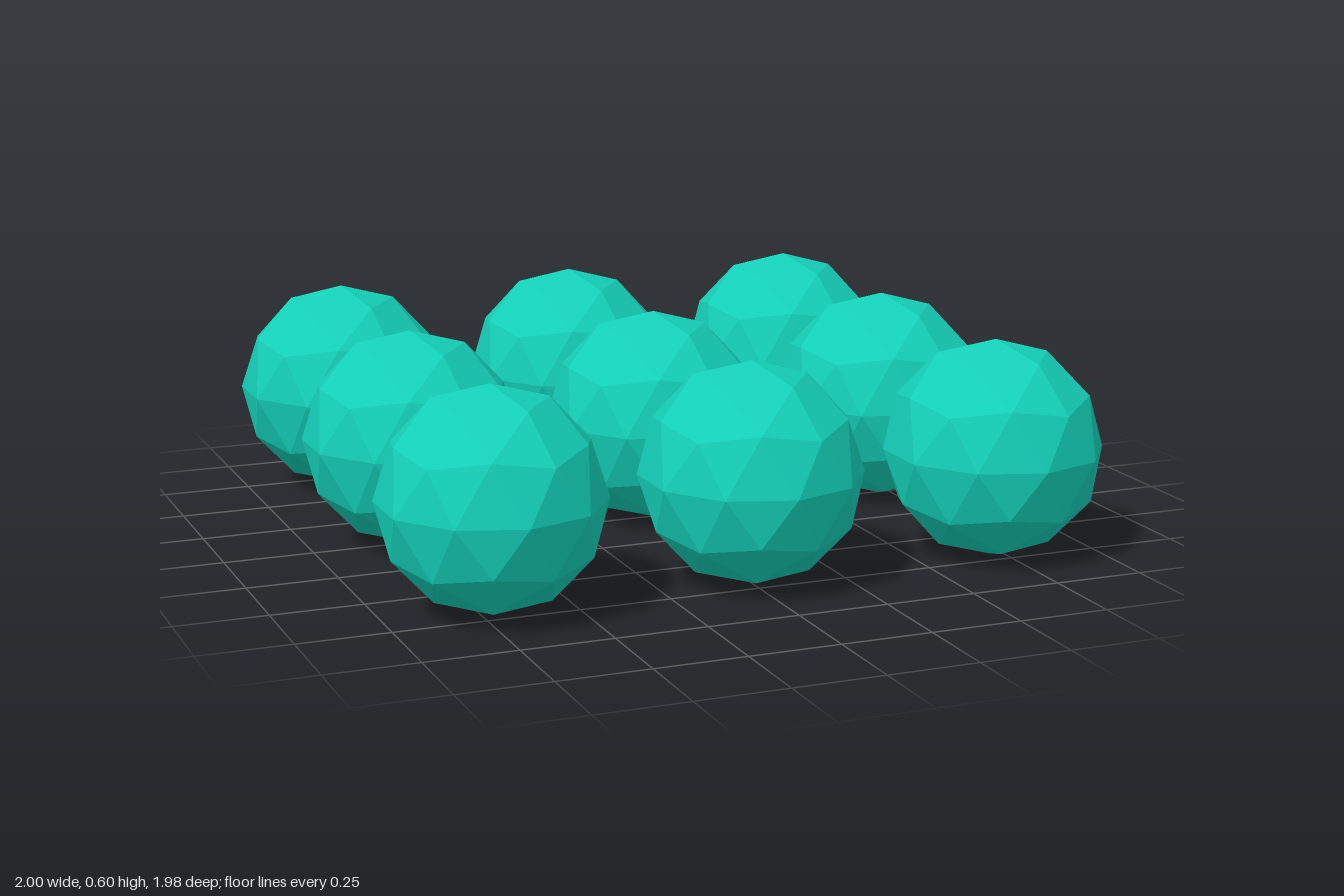
import * as THREE from 'three';

const RADIUS = 0.3;
const SPACING_X = 0.715;
const SPACING_Z = 0.691;

export function createModel() {
  const group = new THREE.Group();
  group.name = 'ballGrid';

  const material = new THREE.MeshStandardMaterial({ color: 0x14d0b8, flatShading: true });

  // Faceted ball of 80 triangles, tilted so a corner stands at each pole
  const ball = new THREE.IcosahedronGeometry(RADIUS, 1);
  ball.rotateZ(-Math.atan(2 / (1 + Math.sqrt(5))));

  // Three rows of three balls resting on the ground
  ['back', 'middle', 'front'].forEach((row, r) => {
    ['Right', 'Centre', 'Left'].forEach((column, c) => {
      const mesh = new THREE.Mesh(ball, material);
      mesh.name = `${row}${column}Ball`;
      mesh.position.set((c - 1) * SPACING_X, RADIUS, (r - 1) * SPACING_Z);
      group.add(mesh);
    });
  });

  return group;
}
